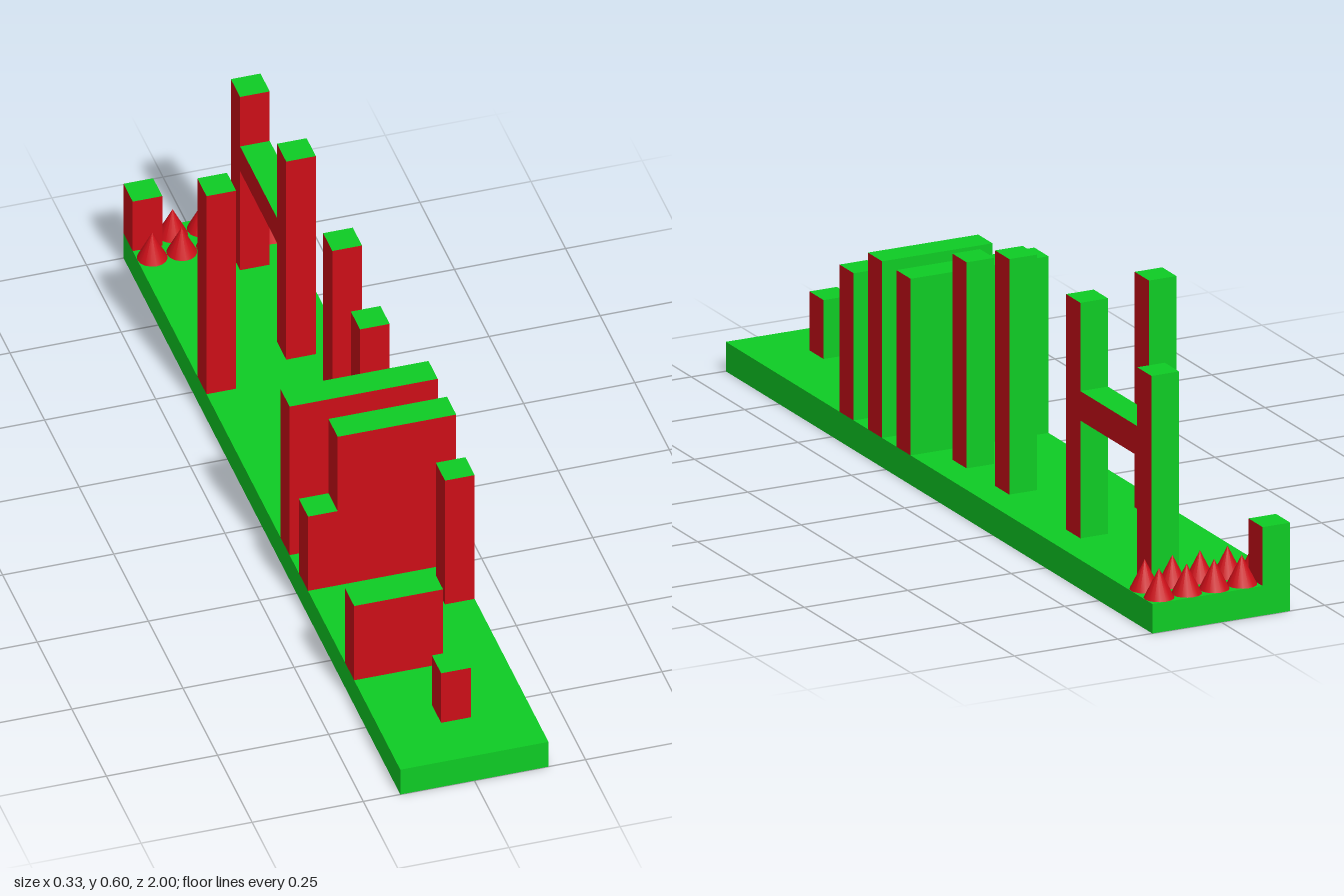
import * as THREE from 'three';

const U = 1 / 15; // one grid cell
const GROUND = U;

export function createModel() {
  const model = new THREE.Group();
  const green = new THREE.MeshStandardMaterial({ color: 0x0ecc24 });
  const red = new THREE.MeshStandardMaterial({ color: 0xcc0e18 });
  // red front and flanks, green top, bottom and back
  const blockFaces = [red, red, green, green, red, green];

  // Box given by its lower corner and size in grid cells, y measured above the ground slab
  function addBlock(name, x, y, z, w, h, d, material = blockFaces) {
    const mesh = new THREE.Mesh(new THREE.BoxGeometry(w * U, h * U, d * U), material);
    mesh.name = name;
    mesh.position.set((x + w / 2) * U, GROUND + (y + h / 2) * U, (z + d / 2) * U);
    model.add(mesh);
  }

  // Ground slab
  addBlock('ground', -2.5, -1, -15, 5, 1, 30, green);

  // Obstacles standing on the ground: name, x, z, width, height (all one cell deep)
  const obstacles = [
    ['lowBlock', -0.5, 12, 1, 2],
    ['lowWall', -2.5, 9, 3, 3],
    ['rightPillar', 1.5, 6, 1, 5],
    ['steppedWallLow', -2.5, 4, 1, 3],
    ['steppedWallHigh', -1.5, 4, 4, 6],
    ['fullWall', -2.5, 2, 5, 6],
    ['pillar', 0.5, 0, 1, 7],
    ['tallPillar', 0.5, -3, 1, 8],
    ['edgePillar', -2.5, -7, 1, 8],
    ['bridgeFrontPost', 0.5, -8, 1, 8],
    ['bridgeBackPost', 0.5, -13, 1, 7],
    ['cornerBlock', -2.5, -15, 1, 2],
  ];
  for (const [name, x, z, w, h] of obstacles) addBlock(name, x, 0, z, w, h, 1);

  // Beam joining the two bridge posts
  addBlock('bridgeBeam', 0.5, 4, -12, 1, 1, 4);

  // Two rows of spikes, leaving the corner block's cell free
  const spikeGeometry = new THREE.ConeGeometry(U / 2, U, 16);
  const spikes = new THREE.Group();
  spikes.name = 'spikes';
  for (const z of [-13.5, -14.5]) {
    for (let x = -2; x <= 2; x++) {
      if (z === -14.5 && x === -2) continue;
      const spike = new THREE.Mesh(spikeGeometry, red);
      spike.name = 'spike';
      spike.position.set(x * U, GROUND + U / 2, z * U);
      spikes.add(spike);
    }
  }
  model.add(spikes);

  return model;
}
